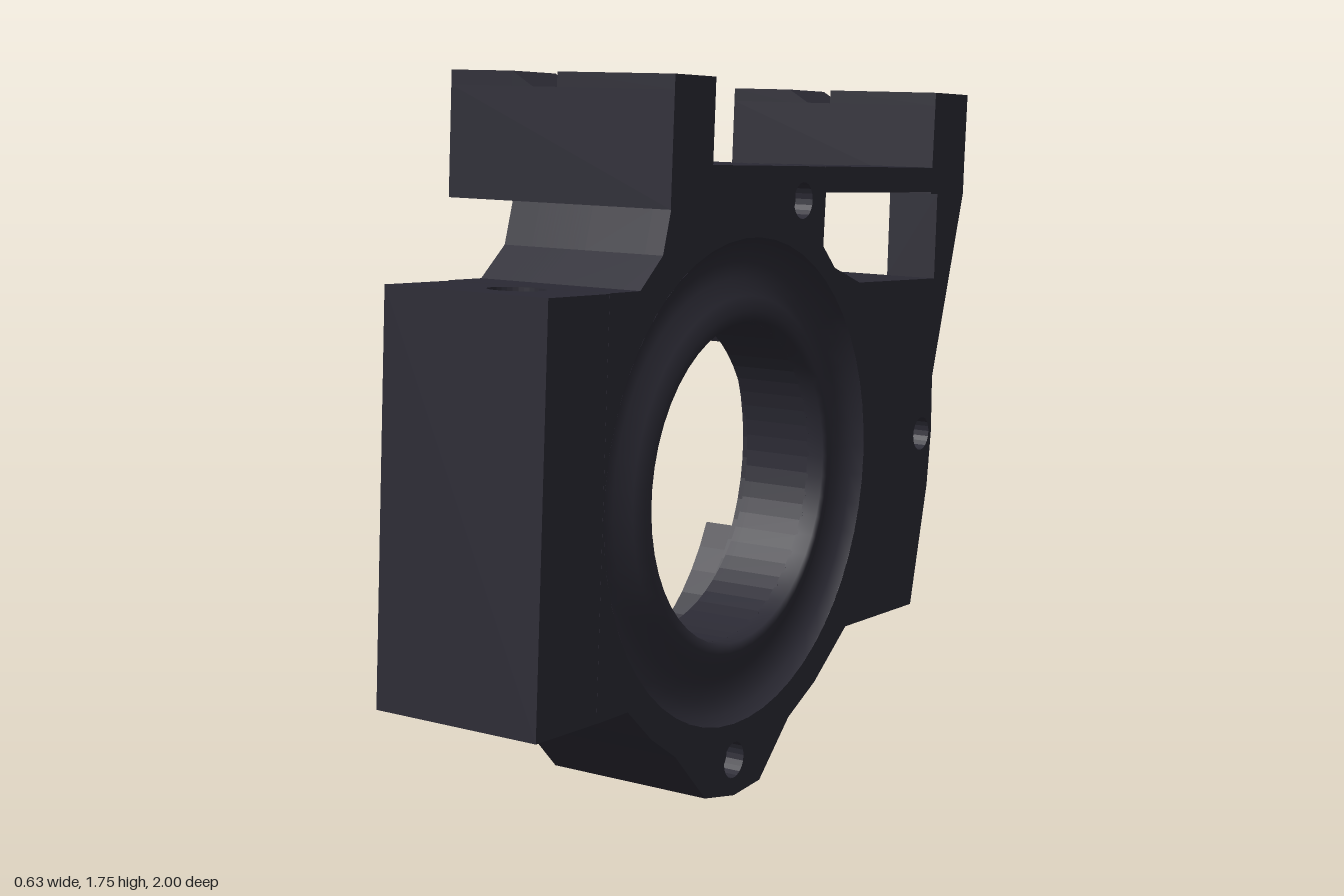
import * as THREE from 'three';

const metal = new THREE.MeshStandardMaterial({ color: 0x2b2a34 });
metal.name = 'darkMetal';
const open = new THREE.MeshStandardMaterial({ color: 0x2b2a34, side: THREE.DoubleSide });
open.name = 'darkMetalOpen';

const TILT = 0.063;            // lean of the whole casting
const CZ = 0.155, CY = 0.77;   // bore centre
const X0 = -0.13, X1 = 0.314;  // body thickness
const TOP = [-0.11, 1.43], BOTTOM = [0.2, 0.09], BACK = [-0.76, 0.75]; // screw holes (z, y)

function named(geo, name, material = metal) {
  const m = new THREE.Mesh(geo, material);
  m.name = name;
  return m;
}

function arc(cx, cy, r, a0, a1, n) {
  return Array.from({ length: n + 1 }, (_, i) => {
    const a = a0 + (a1 - a0) * i / n;
    return [cx + r * Math.cos(a), cy + r * Math.sin(a)];
  });
}
const circle = (cx, cy, r, n = 20) => arc(cx, cy, r, 0, Math.PI * 2, n).slice(0, n);

// Holes are reversed so that they run counter-clockwise after the mirroring
function shapeOf(pts, holes, flip) {
  const vec = (list) => list.map(([a, b]) => (flip ? new THREE.Vector2(-a, b) : new THREE.Vector2(a, -b)));
  const s = new THREE.Shape(vec(pts));
  s.holes = holes.map((h) => new THREE.Path(vec(h).reverse()));
  return s;
}

// [z, y] outline swept along x
function sweepX(name, pts, x0, x1, holes = []) {
  const g = new THREE.ExtrudeGeometry(shapeOf(pts, holes, true), { depth: x1 - x0, bevelEnabled: false });
  g.rotateY(Math.PI / 2).translate(x0, 0, 0);
  return named(g, name);
}

// [x, z] outline swept along y
function sweepY(name, pts, y0, y1, holes = []) {
  const g = new THREE.ExtrudeGeometry(shapeOf(pts, holes, false), { depth: y1 - y0, bevelEnabled: false });
  g.rotateX(-Math.PI / 2).translate(0, y0, 0);
  return named(g, name);
}

const rect = (a0, a1, b0, b1) => [[a0, b0], [a1, b0], [a1, b1], [a0, b1]];

// Outline of the casting, cut in two through the top and bottom screw holes
const frontEdge = [
  [0.2, 0], [0.33, 0.03], [0.46, 0.17], [0.56, 0.24], [0.655, 0.33], [0.777, 0.335],
  [0.717, 1.287], [0.6, 1.28], [0.51, 1.35], [0.477, 1.45], [0.46, 1.55], [0.305, 1.54], [-0.11, 1.514],
];
const rearTop = [[-0.11, 1.514], [-0.215, 1.507], [-0.22, 1.437], [-0.21, 1.31], [-0.27, 1.25], [-0.4, 1.2]];
const rearLow = [
  [-0.82, 1.17], [-0.82, 0.9], [-0.82, 0.75], [-0.8, 0.6], [-0.715, 0.28], [-0.35, 0.3], [-0.19, 0.19],
  [-0.06, 0.13], [0.08, 0.005], [0.2, 0],
];
const lean = (z, y) => [z + (CY - y) * TILT, y];

// One slice of the body: bore radius r, half widths of the rear slot and of its deeper middle
function addSlice(body, x0, x1, r, slot, deep, screwR) {
  const up = Math.acos((TOP[0] - CZ) / r), down = -Math.acos((BOTTOM[0] - CZ) / r);
  const bore = (a0, a1, n) => arc(CZ, CY, r, a0, a1, n);
  const half = Math.PI / 2;
  const frontScrew = (p) => arc(...p, screwR, half, -half, 10);
  const rearScrew = (p) => arc(...p, screwR, -half, -3 * half, 10);
  const back = circle(...BACK, screwR);
  body.add(sweepX('bodyFront',
    [...frontEdge, ...frontScrew(TOP), ...bore(up, down, 30), ...frontScrew(BOTTOM)], x0, x1));

  const near = -0.522 + slot, far = -0.522 - slot;
  const pit = deep > 0
    ? [lean(-0.522 + deep, 0.46), lean(-0.522 + deep, 0.37), lean(-0.522 - deep, 0.37), lean(-0.522 - deep, 0.46)]
    : [];
  const floor = [lean(near, 0.46), ...pit, lean(far, 0.46), lean(far, 1.178)];
  if (slot > 0 && CZ - near < r) {
    // Slot breaks into the bore, leaving an upper and a lower piece
    const a = Math.acos((near - CZ) / r);
    body.add(sweepX('bodyRearTop',
      [...rearTop, lean(near, 1.19), ...bore(a, up, 8), ...rearScrew(TOP)], x0, x1));
    body.add(sweepX('bodyRearLow',
      [...floor, ...rearLow, ...rearScrew(BOTTOM), ...bore(down, -a, 10)], x0, x1, [back]));
  } else {
    const cut = slot > 0 ? [lean(near, 1.19), ...floor] : [];
    body.add(sweepX('bodyRear',
      [...rearTop, ...cut, ...rearLow, ...rearScrew(BOTTOM), ...bore(2 * Math.PI + down, up, 24), ...rearScrew(TOP)],
      x0, x1, [back]));
  }
}

// Clamp tab with a grooved top and two screw holes
function tab(name, z0, z1, base) {
  const g = new THREE.Group();
  g.name = name;
  const floor = 1.683, top = 1.718, zc = (z0 + z1) / 2;
  g.add(sweepY('tabBlock', rect(-0.32, X1, z0, z1), base, floor));
  g.add(sweepY('tabPadRight', rect(-0.32, -0.14, z0, z1), floor, top, [circle(-0.21, zc, 0.024)]));
  g.add(sweepY('tabPadLeft', rect(-0.01, X1, z0, z1), floor, top, [circle(0.115, zc, 0.024)]));
  const ramp = new THREE.Shape([[-0.14, floor], [-0.08, floor], [-0.14, top]].map((p) => new THREE.Vector2(...p)));
  const geo = new THREE.ExtrudeGeometry(ramp, { depth: z1 - z0, bevelEnabled: false });
  g.add(named(geo.translate(0, 0, z0), 'tabGrooveRamp'));
  return g;
}

export function createModel() {
  const model = new THREE.Group();
  model.name = 'bearingHousing';

  // Main body: stepped bore, and a rear slot whose inner end is rounded
  const body = new THREE.Group();
  body.name = 'housingBody';
  const boreAt = (x) => (x < 0 ? 0.58 : x < 0.08 ? 0.5 : 0.39);
  const halfWidth = (r, x) => Math.sqrt(Math.max(0, r * r - (x + 0.05) ** 2));
  addSlice(body, X0, -0.05, 0.58, 0.153, 0.077, 0.022);
  for (let i = 0; i < 15; i++) {
    const x = -0.05 + i * 0.01, mid = x + 0.005;
    addSlice(body, x, x + 0.01, boreAt(mid), halfWidth(0.153, mid), halfWidth(0.077, mid), 0.022);
  }
  addSlice(body, 0.1, 0.265, 0.39, 0, 0, 0.022);
  addSlice(body, 0.265, X1, 0.59, 0, 0, 0.045);
  model.add(body);

  // Groove around the bore and the raised rim inside it
  const ring = new THREE.LatheGeometry([
    [0.39, 0.26], [0.39, 0.305], [0.415, 0.305], [0.45, 0.295], [0.49, 0.268], [0.53, 0.27], [0.57, 0.286], [0.59, X1],
  ].map((p) => new THREE.Vector2(...p)), 48);
  ring.rotateZ(-Math.PI / 2).translate(0, CY, CZ);
  model.add(named(ring, 'boreRim', open));

  // Thin post carrying the rear tab
  model.add(sweepX('rearPost',
    [[-0.81, 1.5], [-0.83, 1.4], [-0.82, 1.17], [-0.82, 0.9], [-0.985, 1.39], [-0.99, 1.5]], 0.17, X1));

  // Parts square to the leaning axes
  const leaning = new THREE.Group();
  leaning.name = 'leaningParts';
  leaning.rotation.x = -TILT;
  leaning.add(sweepY('frontBlock', rect(X0, X1, 0.797, 1.02), 0.286, 1.238, [circle(0.115, 0.867, 0.066, 32)]));
  leaning.add(sweepY('topBar', [
    [X1, -0.12], [X0, -0.12], [X0, -0.137], [0.08, -0.137], [0.17, -0.49], [0.09, -0.71], [X1, -0.71],
  ], 1.453, 1.518));
  leaning.add(tab('frontTab', 0.399, 0.569, 1.417));
  leaning.add(tab('rearTab', -0.894, -0.703, 1.448));
  model.add(leaning);

  return model;
}
